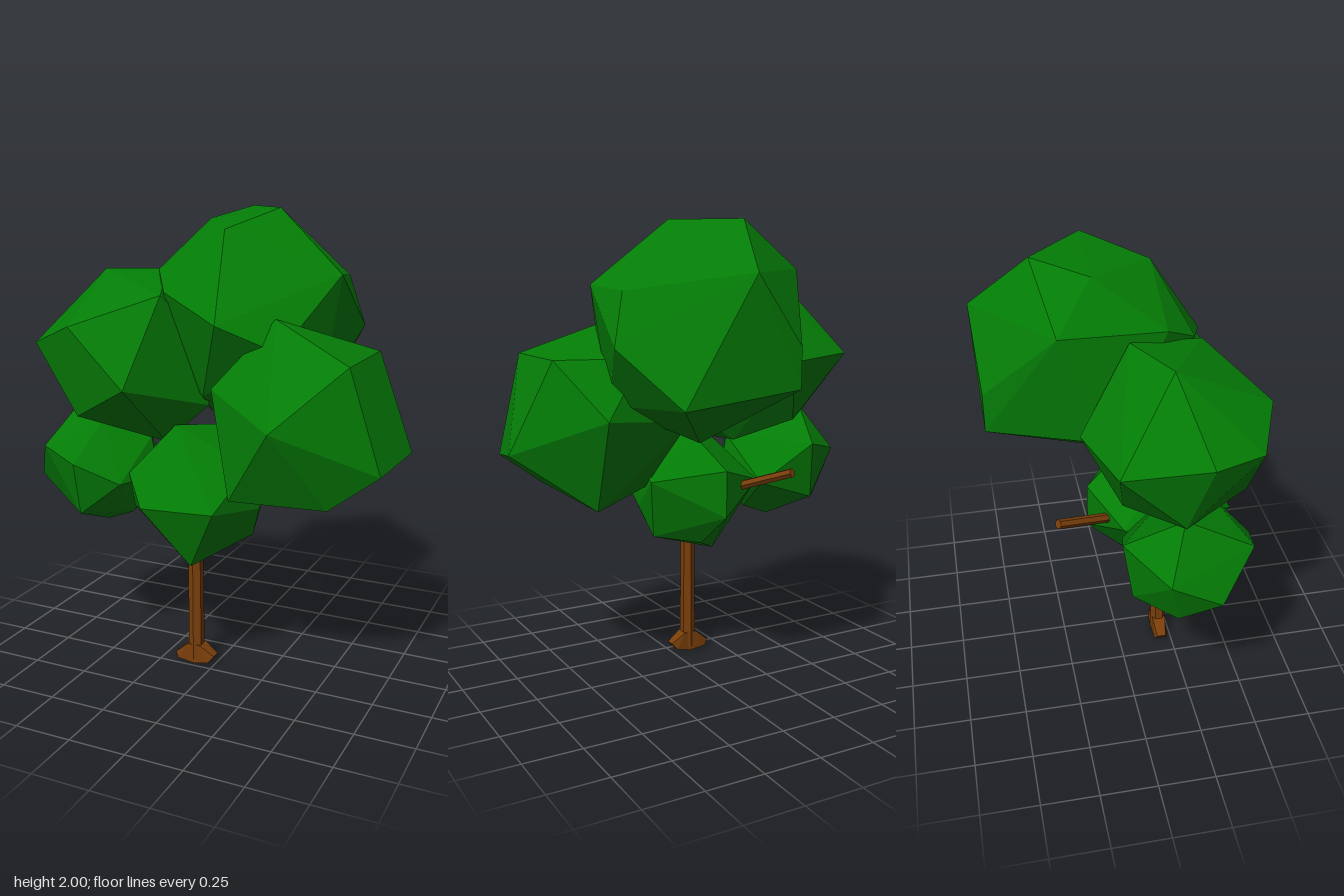
import * as THREE from 'three';
import { ConvexGeometry } from 'three/addons/geometries/ConvexGeometry.js';

const leafMaterial = new THREE.MeshStandardMaterial({ color: 0x047d06, flatShading: true });
const barkMaterial = new THREE.MeshStandardMaterial({ color: 0x7a3f0a, flatShading: true });

// Corner points of each faceted leaf clump
const clumps = {
  crownTop: [
    [-0.05, 2.0, -0.34], [0.17, 2.0, -0.11], [0.03, 1.92, 0.15], [-0.35, 1.8, -0.28],
    [-0.16, 1.95, -0.12], [0.48, 1.74, -0.02], [0.44, 1.72, -0.24], [0.5, 1.5, -0.29],
    [0.03, 1.79, -0.58], [0.32, 1.27, -0.53], [-0.19, 1.33, -0.56], [-0.19, 1.5, -0.56],
    [0.07, 1.08, -0.2], [-0.1, 1.12, 0.0], [0.09, 1.56, 0.38], [-0.18, 1.67, 0.29],
    [-0.27, 1.75, 0.16], [-0.05, 1.23, 0.2], [0.32, 1.45, 0.27], [0.4, 1.24, -0.02],
    [-0.36, 1.32, -0.07],
  ],
  crownRight: [
    [-0.55, 1.74, 0.12], [-0.31, 1.74, 0.0], [-0.18, 1.66, 0.32], [-0.5, 1.54, 0.52],
    [-0.24, 1.3, 0.54], [-0.8, 1.46, 0.22], [-0.72, 1.45, 0.43], [-0.74, 1.42, -0.12],
    [-0.52, 1.15, 0.44], [-0.7, 1.13, 0.15], [-0.2, 1.03, 0.25], [-0.4, 1.4, -0.21],
    [-0.5, 1.12, -0.06], [-0.08, 1.45, 0.1], [-0.28, 1.02, 0.1], [-0.05, 1.18, 0.14],
  ],
  crownLeft: [
    [0.29, 1.58, 0.23], [0.65, 1.44, 0.38], [0.65, 1.44, -0.02], [0.82, 1.05, 0.06],
    [0.77, 1.01, 0.33], [0.4, 1.2, 0.58], [0.19, 0.88, 0.47], [0.57, 0.86, 0.37],
    [0.48, 0.8, -0.06], [0.49, 1.2, -0.21], [0.06, 1.3, 0.35], [0.3, 1.44, -0.12],
    [0.07, 1.16, -0.11], [0.09, 1.06, 0.2], [0.19, 0.85, 0.08],
  ],
  lowerRight: [
    [-0.82, 0.94, 0.07], [-0.82, 0.82, 0.28], [-0.68, 1.15, 0.15], [-0.7, 1.0, 0.43],
    [-0.54, 0.94, 0.46], [-0.48, 1.11, 0.3], [-0.3, 1.03, 0.2], [-0.27, 0.86, 0.2],
    [-0.4, 0.67, 0.2], [-0.53, 0.62, 0.2], [-0.75, 0.71, 0.12], [-0.55, 0.7, 0.4],
    [-0.36, 0.85, 0.38], [-0.6, 1.0, -0.08], [-0.35, 0.83, -0.03], [-0.62, 0.74, -0.04],
  ],
  lowerMiddle: [
    [-0.2, 0.8, 0.49], [0.11, 0.8, 0.45], [-0.03, 0.53, 0.37], [-0.2, 0.5, 0.16],
    [0.19, 0.75, 0.15], [0.14, 0.61, 0.1], [-0.39, 0.7, 0.2], [-0.15, 1.11, 0.26],
    [0.16, 0.94, 0.2], [0.19, 0.88, 0.02], [-0.1, 0.72, -0.14], [-0.1, 0.93, -0.14],
    [-0.33, 0.85, -0.02], [-0.05, 0.58, 0.0], [-0.33, 0.9, 0.35], [-0.03, 1.08, 0.05],
  ],
};

const hull = (points) => new ConvexGeometry(points.map((p) => new THREE.Vector3(...p)));

// Hexagonal limb running between two points
function limb(start, end, startRadius, endRadius) {
  const a = new THREE.Vector3(...start);
  const axis = new THREE.Vector3(...end).sub(a);
  const geometry = new THREE.CylinderGeometry(endRadius, startRadius, axis.length(), 6);
  geometry.translate(0, axis.length() / 2, 0);
  geometry.applyQuaternion(
    new THREE.Quaternion().setFromUnitVectors(new THREE.Vector3(0, 1, 0), axis.normalize()));
  return geometry.translate(a.x, a.y, a.z);
}

export function createModel() {
  const tree = new THREE.Group();
  tree.name = 'tree';

  function add(name, geometry, material) {
    const mesh = new THREE.Mesh(geometry, material);
    mesh.name = name;
    tree.add(mesh);
  }

  // Trunk and the bare branch poking out at the back
  add('trunk', limb([-0.09, 0.02, 0.2], [-0.09, 0.8, 0.2], 0.036, 0.031), barkMaterial);
  add('branch', limb([-0.09, 0.74, 0.2], [-0.335, 0.93, -0.3], 0.023, 0.021), barkMaterial);

  // Flared root foot, wide to both sides and thin front to back
  const foot = [];
  for (const z of [0.17, 0.23]) {
    foot.push([-0.17, 0.01, z], [-0.09, 0, z], [-0.02, 0.015, z], [-0.06, 0.09, z], [-0.12, 0.09, z]);
  }
  foot.push([-0.185, 0.035, 0.18], [-0.185, 0.035, 0.22], [0.005, 0.045, 0.18], [0.005, 0.045, 0.22]);
  add('rootFoot', hull(foot), barkMaterial);

  // Leaf clumps
  for (const [name, points] of Object.entries(clumps)) add(name, hull(points), leafMaterial);

  return tree;
}
